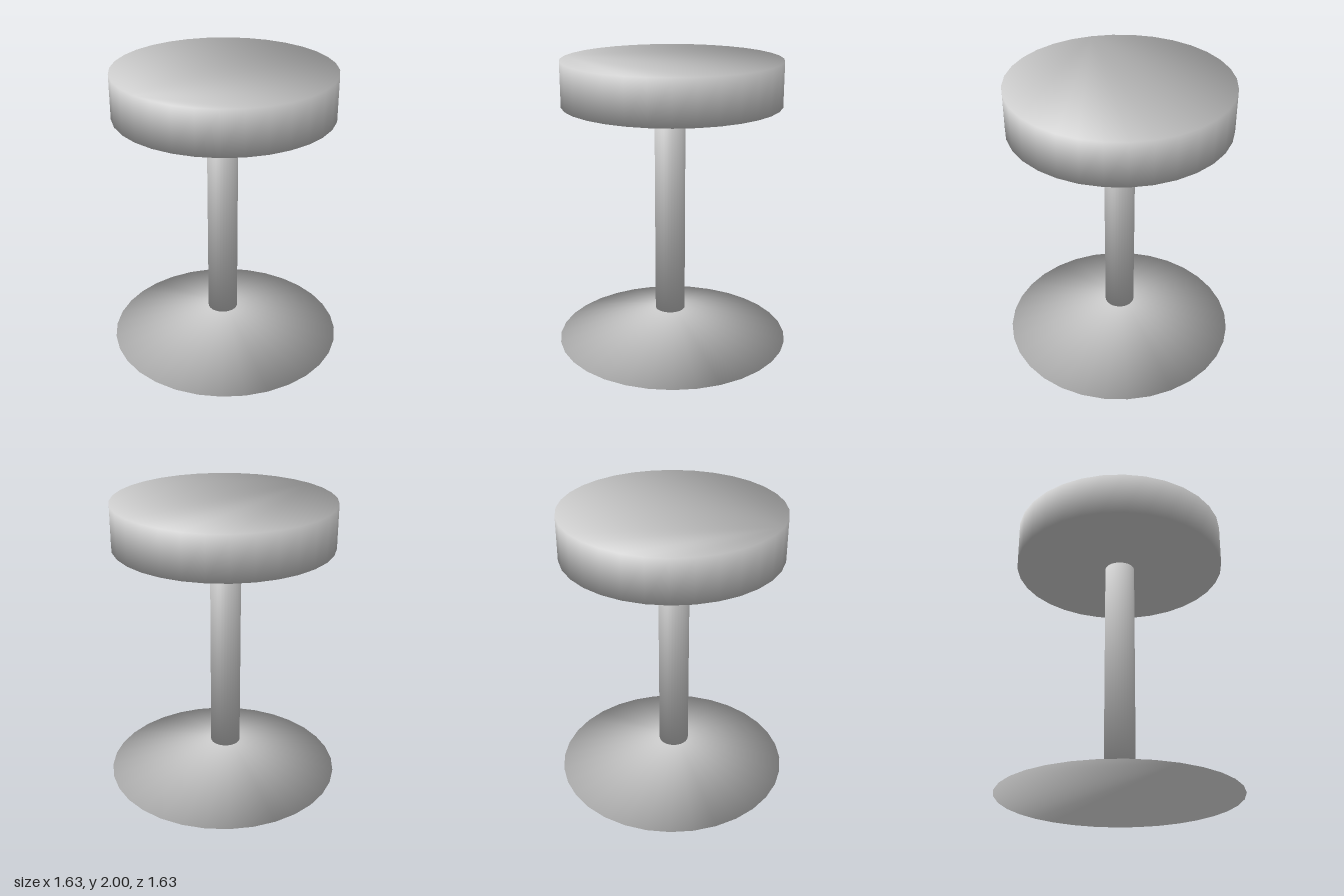
import * as THREE from 'three';

const SIDES = 32;

// Closed round solid between two rings; its caps and wall share softened rim normals.
// ring: { y, r, x, z, out, up } where out/up give the direction of the rim normal.
function softSolid(name, bottom, top, material) {
  const positions = [], normals = [], index = [];
  for (const ring of [bottom, top]) {
    const length = Math.hypot(ring.out, ring.up);
    for (let i = 0; i < SIDES; i++) {
      const a = (i / SIDES) * Math.PI * 2;
      const s = Math.sin(a), c = Math.cos(a);
      positions.push(ring.x + ring.r * s, ring.y, ring.z + ring.r * c);
      normals.push((ring.out * s) / length, ring.up / length, (ring.out * c) / length);
    }
  }
  for (let i = 0; i < SIDES; i++) {
    const j = (i + 1) % SIDES;
    // wall
    index.push(i, j, SIDES + j, i, SIDES + j, SIDES + i);
    // caps
    if (i > 0 && i < SIDES - 1) {
      index.push(0, j, i);
      index.push(SIDES, SIDES + i, SIDES + j);
    }
  }
  const geometry = new THREE.BufferGeometry();
  geometry.setAttribute('position', new THREE.Float32BufferAttribute(positions, 3));
  geometry.setAttribute('normal', new THREE.Float32BufferAttribute(normals, 3));
  geometry.setIndex(index);
  const mesh = new THREE.Mesh(geometry, material);
  mesh.name = name;
  return mesh;
}

export function createModel() {
  const group = new THREE.Group();
  group.name = 'stool';
  const grey = new THREE.MeshStandardMaterial({ color: 0xcccccc });
  grey.name = 'light grey';

  const post = { r: 0.105, x: -0.008, z: 0.018 };
  const cushion = { r: 0.744, x: -0.006, z: 0.004 };

  // Wide, low conical foot
  group.add(softSolid('base',
    { y: 0, r: 0.815, x: 0, z: 0, out: 1, up: -0.14 },
    { ...post, y: 0.2, out: 0.145, up: 1 }, grey));

  // Central post
  group.add(softSolid('post',
    { ...post, y: 0.2, out: 1, up: -0.94 },
    { ...post, y: 1.7, out: 1, up: 0.94 }, grey));

  // Thick round seat
  group.add(softSolid('seat',
    { ...cushion, y: 1.7, out: 1, up: -0.94 },
    { ...cushion, y: 2, out: 1, up: 0.94 }, grey));

  return group;
}
